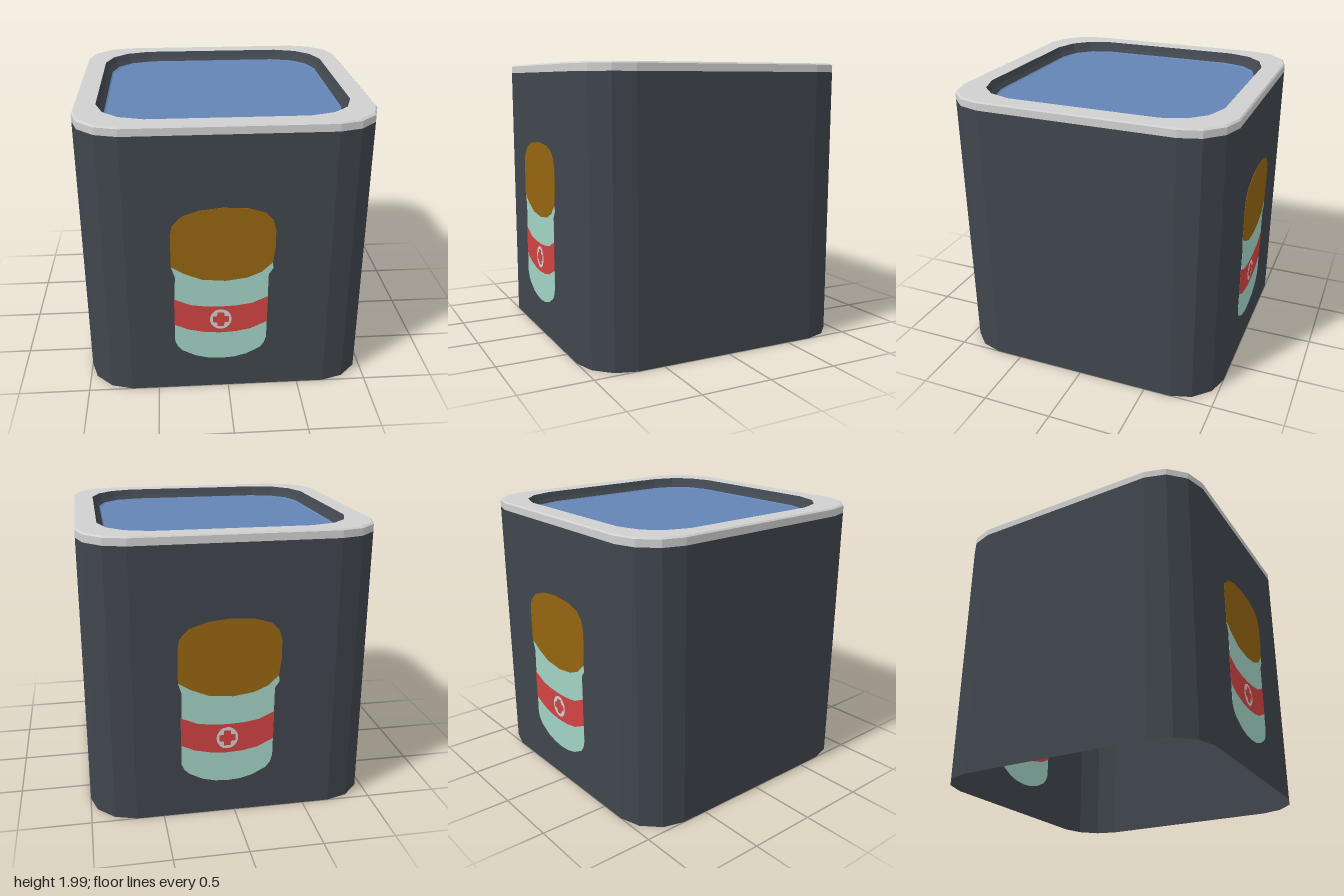
import * as THREE from 'three';

const paint = (name, color) =>
  new THREE.MeshStandardMaterial({ name, color, side: THREE.DoubleSide });

// Rounded-square outline: four points per corner, turned through four quarters.
function outline([side, m, n, flat]) {
  const points = [];
  for (let k = 0; k < 4; k++) {
    for (let [x, z] of [[side, flat], [m, n], [n, m], [flat, side]]) {
      for (let t = 0; t < k; t++) [x, z] = [-z, x];
      points.push([x, z]);
    }
  }
  return points;
}

// Faceted skin through a stack of outlines, optionally closed at the last one.
function loft(levels, closed = false) {
  const pos = [];
  const rings = levels.map(([y, size]) => outline(size).map(([x, z]) => [x, y, z]));
  for (let r = 0; r + 1 < rings.length; r++) {
    rings[r].forEach((a0, i) => {
      const j = (i + 1) % rings[r].length;
      const a1 = rings[r + 1][i], b0 = rings[r][j], b1 = rings[r + 1][j];
      pos.push(...a0, ...a1, ...b1, ...a0, ...b1, ...b0);
    });
  }
  if (closed) {
    const last = rings[rings.length - 1];
    last.forEach((a, i) => pos.push(...a, 0, a[1], 0, ...last[(i + 1) % last.length]));
  }
  const geometry = new THREE.BufferGeometry();
  geometry.setAttribute('position', new THREE.Float32BufferAttribute(pos, 3));
  geometry.computeVertexNormals();
  return geometry;
}

const polygon = (points) => new THREE.Shape(points.map(([x, y]) => new THREE.Vector2(x, y)));

export function createModel() {
  const dark = paint('darkGrey', 0x40464d);
  const grey = paint('lightGrey', 0xd0d0d0);
  const blue = paint('waterBlue', 0x6484b4);
  const brown = paint('capBrown', 0x966510);
  const teal = paint('jarTeal', 0xa3d3c5);
  const red = paint('bandRed', 0xd24343);

  const model = new THREE.Group();
  model.name = 'tank';
  const add = (parent, name, geometry, material) => {
    const mesh = new THREE.Mesh(geometry, material);
    mesh.name = name;
    parent.add(mesh);
    return mesh;
  };

  const outer = [1, 0.955, 0.84, 0.69];
  const bevel = [0.99, 0.945, 0.83, 0.685];
  const mouth = [0.855, 0.8, 0.695, 0.53];
  const lower = [0.835, 0.785, 0.675, 0.515];
  const edge = [0.807, 0.76, 0.655, 0.495];
  const pool = [0.797, 0.745, 0.64, 0.485];

  // Walls, open at the bottom
  add(model, 'walls', loft([[0, outer], [1.93, outer]]), dark);
  // Rim with a small bevel
  add(model, 'rim', loft([[1.93, outer], [1.98, outer], [1.99, bevel], [1.99, mouth]]), grey);
  // Sloping inner lip and the water, raised slightly at its edge
  add(model, 'innerLip', loft([[1.99, mouth], [1.95, lower], [1.915, edge]]), dark);
  add(model, 'water', loft([[1.922, edge], [1.915, pool]], true), blue);

  // Painted jar, seen on both faces of the wall
  const jar = polygon([
    [-0.39, 1.0], [-0.365, 0.92], [-0.37, 0.76], [-0.375, 0.4], [-0.355, 0.355],
    [-0.325, 0.32], [-0.23, 0.27], [-0.14, 0.247], [-0.055, 0.24], [0.04, 0.247],
    [0.125, 0.27], [0.22, 0.32], [0.25, 0.36], [0.265, 0.41], [0.27, 0.92],
    [0.3, 0.965], [0.295, 1.02],
  ]);
  const cap = polygon([
    [-0.39, 1.24], [-0.375, 1.31], [-0.31, 1.375], [-0.19, 1.415], [-0.04, 1.43],
    [0.125, 1.42], [0.24, 1.385], [0.29, 1.33], [0.31, 1.26], [0.31, 1.13],
    [0.295, 1.01], [0.22, 0.94], [0.125, 0.9], [-0.02, 0.88], [-0.18, 0.895],
    [-0.3, 0.945], [-0.39, 1.0],
  ]);
  const band = polygon([
    [-0.375, 0.745], [-0.26, 0.695], [-0.16, 0.68], [-0.055, 0.675], [0.06, 0.68],
    [0.16, 0.695], [0.27, 0.745], [0.267, 0.54], [0.15, 0.485], [0.05, 0.466],
    [-0.06, 0.46], [-0.17, 0.47], [-0.28, 0.495], [-0.375, 0.54],
  ]);
  const disc = new THREE.Shape().absellipse(-0.055, 0.572, 0.075, 0.08, 0, Math.PI * 2);
  // Cross outline from one arm turned four times
  const arms = [];
  for (let k = 0; k < 4; k++) {
    for (let [x, y] of [[0.026, 0.026], [0.022, 0.056], [-0.022, 0.056]]) {
      for (let t = 0; t < k; t++) [x, y] = [-y, x];
      arms.push([x - 0.055, y + 0.572]);
    }
  }
  const layers = [
    ['jarBody', jar, teal, 0.003],
    ['jarCap', cap, brown, 0.005],
    ['jarBand', band, red, 0.005],
    ['badge', disc, grey, 0.007],
    ['badgeCross', polygon(arms), red, 0.009],
  ];
  for (const [name, turn] of [['frontPainting', 0], ['backPainting', Math.PI]]) {
    const painting = new THREE.Group();
    painting.name = name;
    painting.rotation.y = turn;
    for (const [part, shape, material, depth] of layers) {
      const plate = new THREE.ExtrudeGeometry(shape, { depth, bevelEnabled: false, curveSegments: 16 });
      plate.translate(0, 0, 1 - depth / 2);
      add(painting, part, plate, material);
    }
    model.add(painting);
  }
  return model;
}
